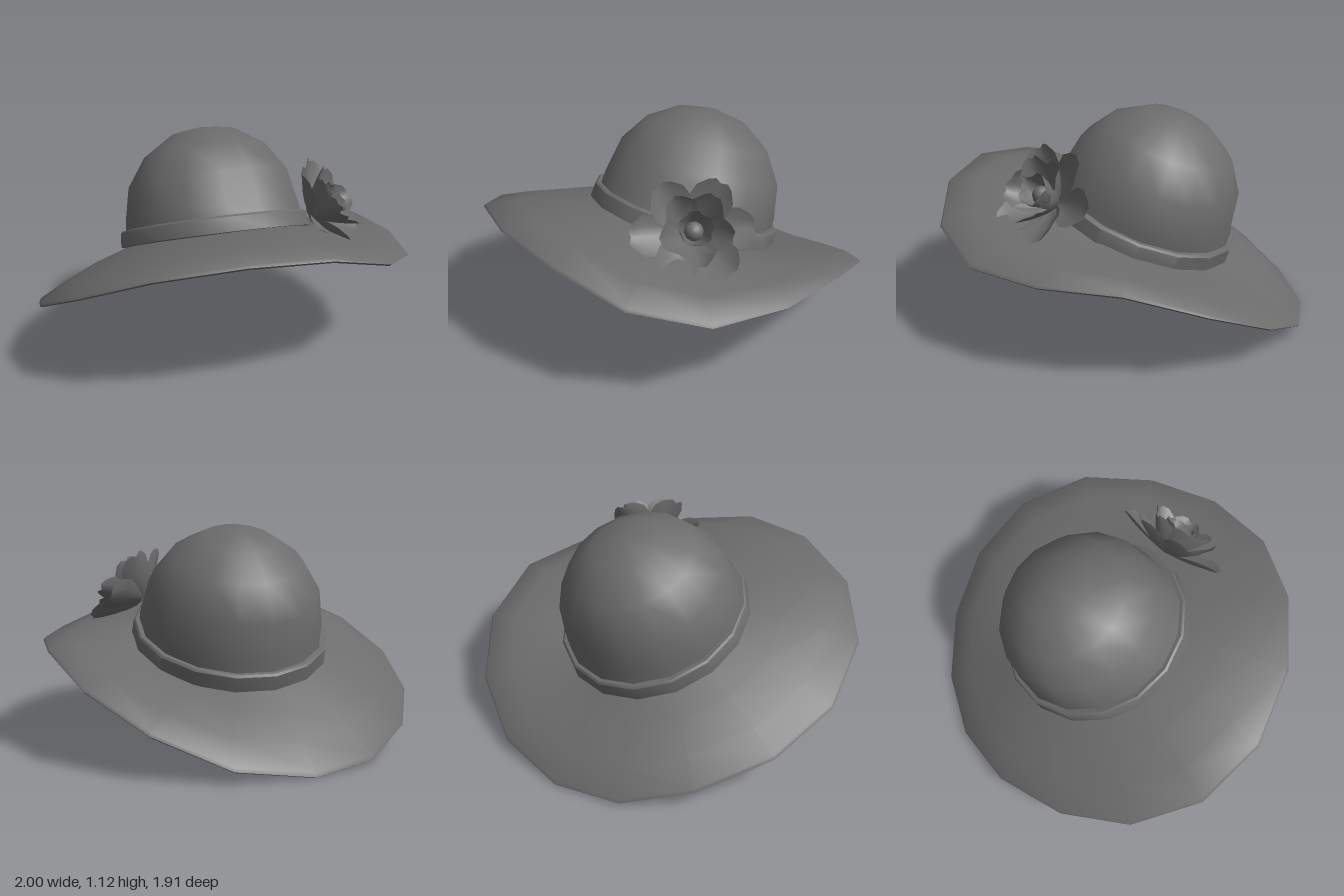
import * as THREE from 'three';
import { toCreasedNormals } from 'three/addons/utils/BufferGeometryUtils.js';

const SIDES = 16;
const START = Math.PI - 0.1; // first corner lies at the back
const UP = new THREE.Vector3(0, 1, 0);
const baseCentre = new THREE.Vector3(0.04, 0.515, -0.065);
const hatTilt = new THREE.Quaternion().setFromUnitVectors(UP, new THREE.Vector3(0.12, 1, -0.37).normalize());
const material = new THREE.MeshStandardMaterial({ color: 0x6c6c6c, side: THREE.DoubleSide });

function mesh(name, geometry) {
  const m = new THREE.Mesh(geometry, material);
  m.name = name;
  return m;
}

// Surface through rows x columns of points given by a rule
function grid(rows, cols, point) {
  const pos = [], index = [];
  for (let k = 0; k < rows; k++) for (let i = 0; i < cols; i++) pos.push(...point(k, i).toArray());
  for (let k = 0; k < rows - 1; k++) for (let i = 0; i < cols - 1; i++) {
    const a = k * cols + i, b = a + 1, c = a + cols, d = c + 1;
    index.push(a, b, c, b, d, c);
  }
  const g = new THREE.BufferGeometry();
  g.setAttribute('position', new THREE.Float32BufferAttribute(pos, 3));
  g.setIndex(index);
  g.computeVertexNormals();
  return g;
}

// Wavy brim: tilted inner ring blended out to an uneven rim
function makeBrim() {
  const rim = [
    [0.13, 0.012, -0.96], [0.5, 0.07, -0.86], [0.8, 0.22, -0.64], [0.98, 0.385, -0.32],
    [1, 0.51, 0.07], [0.89, 0.51, 0.45], [0.67, 0.515, 0.77], [0.33, 0.59, 0.95],
    [-0.06, 0.695, 0.955], [-0.46, 0.715, 0.83], [-0.8, 0.65, 0.58], [-0.99, 0.51, 0.25],
    [-1, 0.35, -0.13], [-0.84, 0.22, -0.48], [-0.56, 0.12, -0.77], [-0.23, 0.03, -0.93],
  ].map(p => new THREE.Vector3(...p));
  // [distance from opening to rim, offset above or below the middle]
  const section = [[0, 0.004], [0.35, 0.011], [0.7, 0.012], [0.98, 0.012], [1, 0],
    [0.98, -0.012], [0.7, -0.012], [0.35, -0.011], [0, -0.004]];
  const g = grid(section.length, SIDES + 1, (k, i) => {
    const phi = START - i * 2 * Math.PI / SIDES;
    const [t, dy] = section[k];
    const p = new THREE.Vector3(0.47 * Math.sin(phi), 0, 0.525 * Math.cos(phi))
      .applyQuaternion(hatTilt).add(baseCentre).lerp(rim[i % SIDES], t);
    p.y += dy + 0.018 * Math.sin(Math.PI * t);
    return p;
  });
  return mesh('brim', toCreasedNormals(g, 1.1));
}

function lathe(profile) {
  return new THREE.LatheGeometry(profile.map(p => new THREE.Vector2(...p)), SIDES, START);
}

// Domed crown, a little longer front to back at its opening
function makeCrown() {
  const profile = [[0.475, 0]];
  for (let j = 0; j <= 4; j++) {
    const a = j * Math.PI / 8;
    profile.push([0.48 * Math.cos(a), 0.14 + 0.48 * Math.sin(a)]);
  }
  const g = lathe(profile);
  const p = g.attributes.position;
  for (let i = 0; i < p.count; i++) if (p.getY(i) < 0.01) p.setZ(i, p.getZ(i) * 1.11);
  return mesh('crown', toCreasedNormals(g, 1.2));
}

function makeBand() {
  const g = lathe([[0.505, 0], [0.516, 0.005], [0.51, 0.08], [0.5, 0.09], [0.47, 0.09]]);
  g.scale(1, 1, 1.03);
  return mesh('hatBand', toCreasedNormals(g, 0.7));
}

// Cupped petal with a scalloped tip, leaning outward from +y toward +z
function petalGeometry(length, width, lean, cup) {
  const widths = [0.2, 0.7, 1, 0.95, 0.6];
  return grid(5, 5, (k, i) => {
    const s = (i - 2) / 2;
    let t = k / 4;
    if (k === 4) t -= [0.07, 0, 0.05, 0, 0.07][i];
    const r = length * Math.sin(lean) * Math.pow(t, 0.85) + 0.015;
    const h = length * Math.cos(lean) * Math.pow(t, 1.2);
    const lift = cup * s * s * widths[k];
    return new THREE.Vector3(
      s * width * widths[k] / 2,
      h + lift * Math.sin(lean),
      r - lift * Math.cos(lean));
  });
}

function makeFlower() {
  const flower = new THREE.Group();
  flower.name = 'flower';
  // [name, length, width, lean, cup, angles around the bloom in degrees]
  const layers = [
    ['sidePetal', 0.3, 0.21, 1.35, 0.04, [90, 270]],
    ['outerPetal', 0.29, 0.21, 1.1, 0.04, [35, 145, 215, 325]],
    ['middlePetal', 0.25, 0.18, 0.75, 0.05, [0, 72, 144, 216, 288]],
    ['innerPetal', 0.19, 0.14, 0.4, 0.04, [36, 108, 180, 252, 324]],
  ];
  for (const [name, length, width, lean, cup, angles] of layers) {
    const g = petalGeometry(length, width, lean, cup);
    for (const angle of angles) {
      const petal = mesh(name, g);
      petal.rotation.y = THREE.MathUtils.degToRad(angle);
      flower.add(petal);
    }
  }
  const bud = mesh('flowerCentre', new THREE.SphereGeometry(0.048, 10, 8));
  bud.position.y = 0.1;
  flower.add(bud);

  // Face the bloom forward, outward and up
  const axis = new THREE.Vector3(0.5, 0.6, 0.6).normalize();
  const side = new THREE.Vector3().crossVectors(UP, axis).normalize();
  const down = new THREE.Vector3().crossVectors(side, axis);
  flower.quaternion.setFromRotationMatrix(new THREE.Matrix4().makeBasis(side, axis, down));
  flower.position.set(0.335, 0.705, 0.375);
  return flower;
}

export function createModel() {
  const hat = new THREE.Group();
  hat.name = 'sunHat';

  const top = new THREE.Group();
  top.name = 'hatTop';
  top.position.copy(baseCentre);
  top.quaternion.copy(hatTilt);
  top.add(makeCrown(), makeBand());

  hat.add(makeBrim(), top, makeFlower());
  return hat;
}
